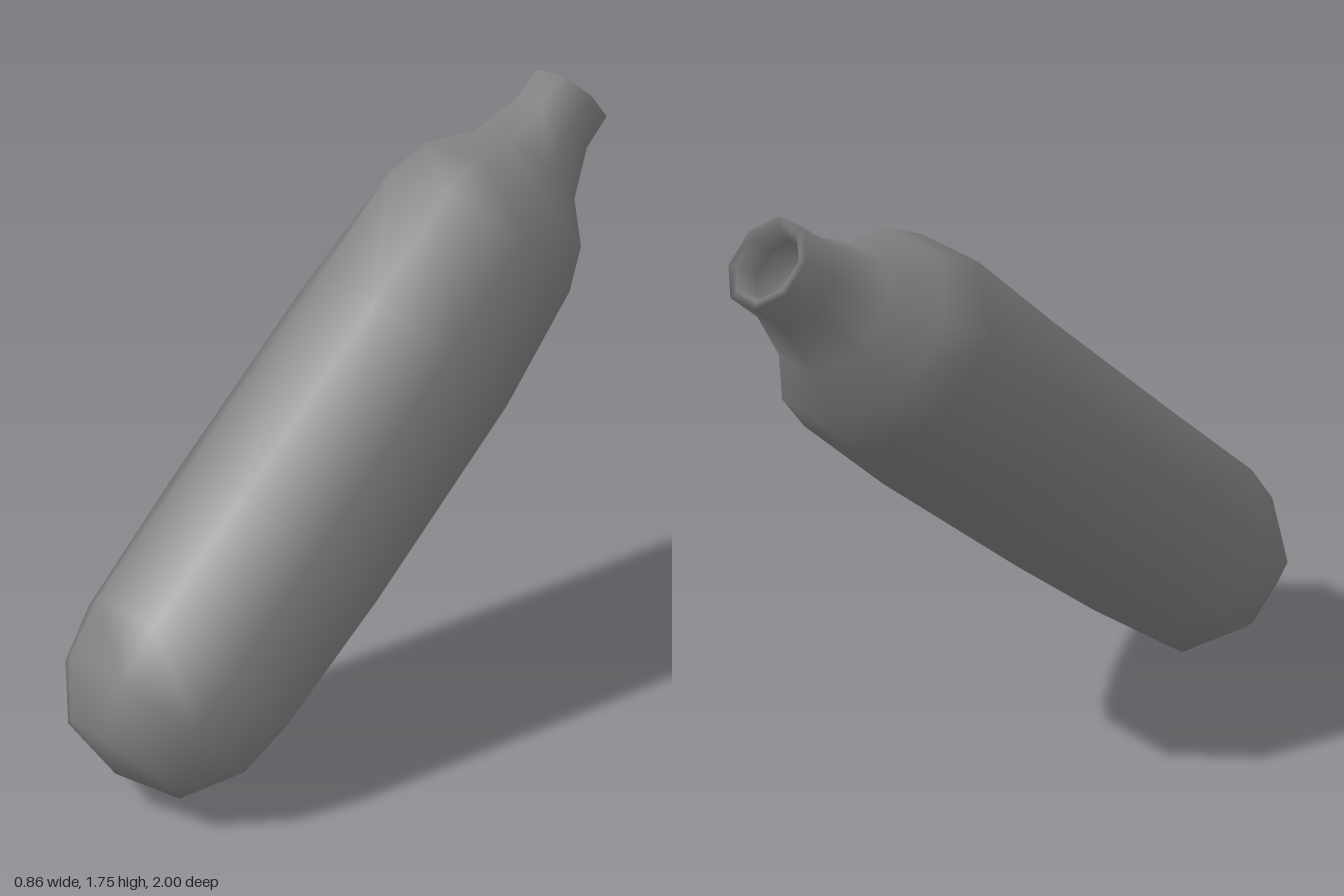
import * as THREE from 'three';
import { mergeVertices } from 'three/addons/utils/BufferGeometryUtils.js';

const SIDES = 8;
const TURN = 0.215; // roll of the eight-sided section around the axis

// Rings from the base over the shoulder and neck, then down inside the mouth:
// [radius, place along the axis, sag towards the underside, how squashed]
const RINGS = [
  [0, -1.213, -0.027, 0], [0.202, -1.165, -0.028, 0.2], [0.304, -1.02, -0.019, 0.4],
  [0.326, -0.85, -0.009, 0.6], [0.326, -0.415, -0.012, 0.95], [0.326, 0.26, -0.012, 1],
  [0.327, 0.645, -0.004, 0.4], [0.293, 0.785, -0.016, 0], [0.192, 0.908, -0.018, 0],
  [0.137, 1.067, -0.015, 0], [0.134, 1.182, -0.015, 0], [0.108, 1.182, -0.015, 0],
  [0.09, 1.12, -0.015, 0], [0.08, 1.05, -0.015, 0], [0, 1.0, -0.015, 0],
];

// Bulge (+) or dent (-) of each corner of the section, starting at the upper side
const SQUASH = [0.03, 0.035, 0.15, 0.075, -0.06, -0.135, 0.115, 0];

function bottleGeometry() {
  const profile = RINGS.map(([r, t]) => new THREE.Vector2(r, t));
  const lathe = new THREE.LatheGeometry(profile, SIDES, TURN);
  const pos = lathe.attributes.position;
  for (let i = 0; i < pos.count; i++) {
    const corner = Math.floor(i / RINGS.length) % SIDES;
    const [, t, sag, squash] = RINGS[i % RINGS.length];
    const amount = SQUASH[corner];
    const scale = 1 + amount * (amount > 0 ? squash : squash ** 3);
    pos.setXYZ(i, pos.getX(i) * scale, t, pos.getZ(i) * scale + sag);
  }
  // Weld the seam and smooth
  lathe.deleteAttribute('uv');
  lathe.deleteAttribute('normal');
  const welded = mergeVertices(lathe, 1e-4);
  welded.computeVertexNormals();
  return welded;
}

export function createModel() {
  const group = new THREE.Group();
  group.name = 'tiltedBottle';
  const grey = new THREE.MeshStandardMaterial({ color: 0x808080 });
  grey.name = 'grey';

  const bottle = new THREE.Mesh(bottleGeometry(), grey);
  bottle.name = 'bottle';

  // Lean the bottle back and a little to its left
  const axis = new THREE.Vector3(0.16, 0.832, -1).normalize();
  const side = new THREE.Vector3().crossVectors(axis, new THREE.Vector3(0, 0.769, 0.639)).normalize();
  const upper = new THREE.Vector3().crossVectors(side, axis);
  bottle.quaternion.setFromRotationMatrix(new THREE.Matrix4().makeBasis(side, axis, upper));
  bottle.position.set(0.01, 0.91, 0);
  group.add(bottle);
  return group;
}
